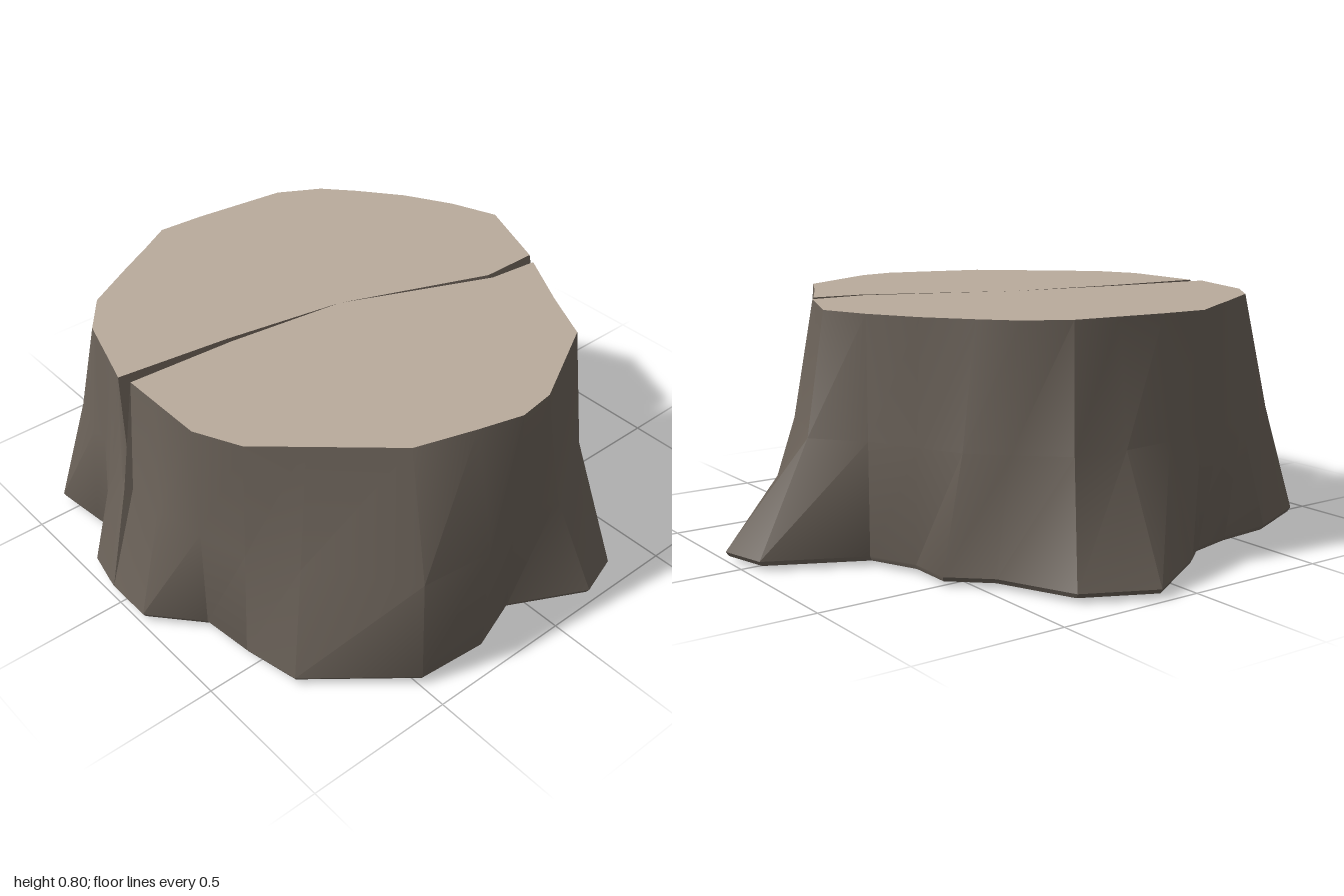
import * as THREE from 'three';
import { toCreasedNormals } from 'three/addons/utils/BufferGeometryUtils.js';

const TOP = 0.8, MID = 0.4, BASE = 0.03, FOOT = 0.015;

// Wall columns: top x, top z, base x, base z, share of the flare reached at mid height
const rightCols = [
  [0.275, -0.575, 0.37, -0.73, 0.3], [0.48, -0.46, 0.56, -0.6, 0.3], [0.66, -0.37, 0.93, -0.33, 0.25],
  [0.83, -0.06, 0.98, -0.18, 0.3], [0.85, 0.07, 0.85, 0.07, 0.3], [0.81, 0.22, 0.91, 0.24, 1],
  [0.75, 0.42, 0.9, 0.49, 0.9], [0.55, 0.645, 0.65, 0.79, 0.5], [0.43, 0.78, 0.46, 0.83, 0.5],
  [0.28, 0.85, 0.28, 0.85, 0.3], [0.1, 0.85, 0.12, 0.99, 0.25], [-0.035, 0.85, -0.035, 0.99, 0.25],
];
const leftCols = [
  [-0.08, 0.865, -0.08, 0.985, 0.25], [-0.16, 0.84, -0.2, 0.96, 0.3], [-0.31, 0.795, -0.31, 0.84, 0.4],
  [-0.36, 0.78, -0.38, 0.85, 0.5], [-0.49, 0.68, -0.56, 0.87, 0.45], [-0.6, 0.49, -0.67, 0.62, 0.4],
  [-0.66, 0.38, -0.69, 0.42, 0.5], [-0.73, 0.26, -0.73, 0.26, 0.3], [-0.72, 0.1, -0.81, 0.16, 0.25],
  [-0.7, -0.06, -0.98, -0.12, 0.2], [-0.68, -0.22, -0.87, -0.35, 0.3], [-0.6, -0.36, -0.62, -0.46, 0.4],
  [-0.5, -0.45, -0.51, -0.58, 0.4], [-0.36, -0.56, -0.36, -0.58, 0.5], [-0.2, -0.65, -0.2, -0.65, 0.3],
  [-0.04, -0.71, -0.05, -0.96, 0.27], [0.06, -0.67, 0.11, -1, 0.14], [0.235, -0.6, 0.29, -0.79, 0.3],
];
// Columns at the crack tips also carry a lowered top height
const backTip = [0.26, -0.61, 0.33, -0.76, 0.3, 0.58];
const frontTip = [-0.05, 0.88, -0.05, 0.99, 0.25, 0.47];

// Crack bends on the cut face, and the point where the crack closes
const centre = [0.04, 0.09];
const frontBend = { right: [-0.012, 0.49], left: [-0.032, 0.49], floor: [-0.022, 0.62, 0.49] };
const backBend = { right: [0.255, -0.4], left: [0.235, -0.4], floor: [0.245, 0.69, -0.4] };

function triangles(points) {
  const geo = new THREE.BufferGeometry();
  geo.setAttribute('position', new THREE.Float32BufferAttribute(points.flat(), 3));
  geo.computeVertexNormals();
  return geo;
}

// Four heights of one wall column
function columnPoints([tx, tz, bx, bz, f, top = TOP]) {
  const sunk = bx > 0.8 && bz > 0.2 && bz < 0.4;
  return [
    [tx, top, tz],
    [tx + (bx - tx) * f, MID, tz + (bz - tz) * f],
    [bx, BASE, bz],
    [bx * 0.99, sunk ? 0 : FOOT, bz * 0.99],
  ];
}

function barkGeometry() {
  const cols = [backTip, ...rightCols, frontTip, ...leftCols].map(columnPoints);
  const wall = [], under = [];
  cols.forEach((a, i) => {
    const b = cols[(i + 1) % cols.length];
    for (let r = 0; r < 3; r++) {
      wall.push(b[r + 1], a[r + 1], a[r], b[r + 1], a[r], b[r]);
    }
    under.push([0, FOOT, 0], a[3], b[3]);
  });
  return { wall: toCreasedNormals(triangles(wall), 0.6), under: triangles(under) };
}

// Flat half of the cut face
function halfFace(outline) {
  const shape = new THREE.Shape(outline.map(([x, z]) => new THREE.Vector2(x, -z)));
  return new THREE.ShapeGeometry(shape).rotateX(-Math.PI / 2).translate(0, TOP, 0);
}

// Both sloping walls of one arm of the crack
function crackArm(rightEdge, leftEdge, tip, bend) {
  const lift = ([x, z]) => [x, TOP, z];
  const end = lift(centre), deep = [tip[0], tip[5], tip[1]];
  const points = [];
  for (const [edge, turn] of [[rightEdge, bend.right], [leftEdge, bend.left]]) {
    const e = lift(edge), t = lift(turn);
    points.push(e, deep, bend.floor, e, bend.floor, t, t, bend.floor, end);
  }
  return triangles(points);
}

export function createModel() {
  const stump = new THREE.Group();
  stump.name = 'treeStump';
  const bark = new THREE.MeshStandardMaterial({ color: 0x6b6259 });
  const wood = new THREE.MeshStandardMaterial({ color: 0xb9ab9c });
  const split = new THREE.MeshStandardMaterial({ color: 0x766b60, side: THREE.DoubleSide });
  const add = (name, geo, mat) => {
    const mesh = new THREE.Mesh(geo, mat);
    mesh.name = name;
    stump.add(mesh);
  };

  // Bark wall with flared roots, and the underside
  const { wall, under } = barkGeometry();
  add('barkAndRoots', wall, bark);
  add('underside', under, bark);

  // Cut face in two halves divided by the crack
  add('cutFaceLeft', halfFace([...rightCols, frontBend.right, centre, backBend.right]), wood);
  add('cutFaceRight', halfFace([...leftCols, backBend.left, centre, frontBend.left]), wood);

  // Crack walls
  add('frontCrack', crackArm(rightCols.at(-1), leftCols[0], frontTip, frontBend), split);
  add('backCrack', crackArm(rightCols[0], leftCols.at(-1), backTip, backBend), split);
  return stump;
}
